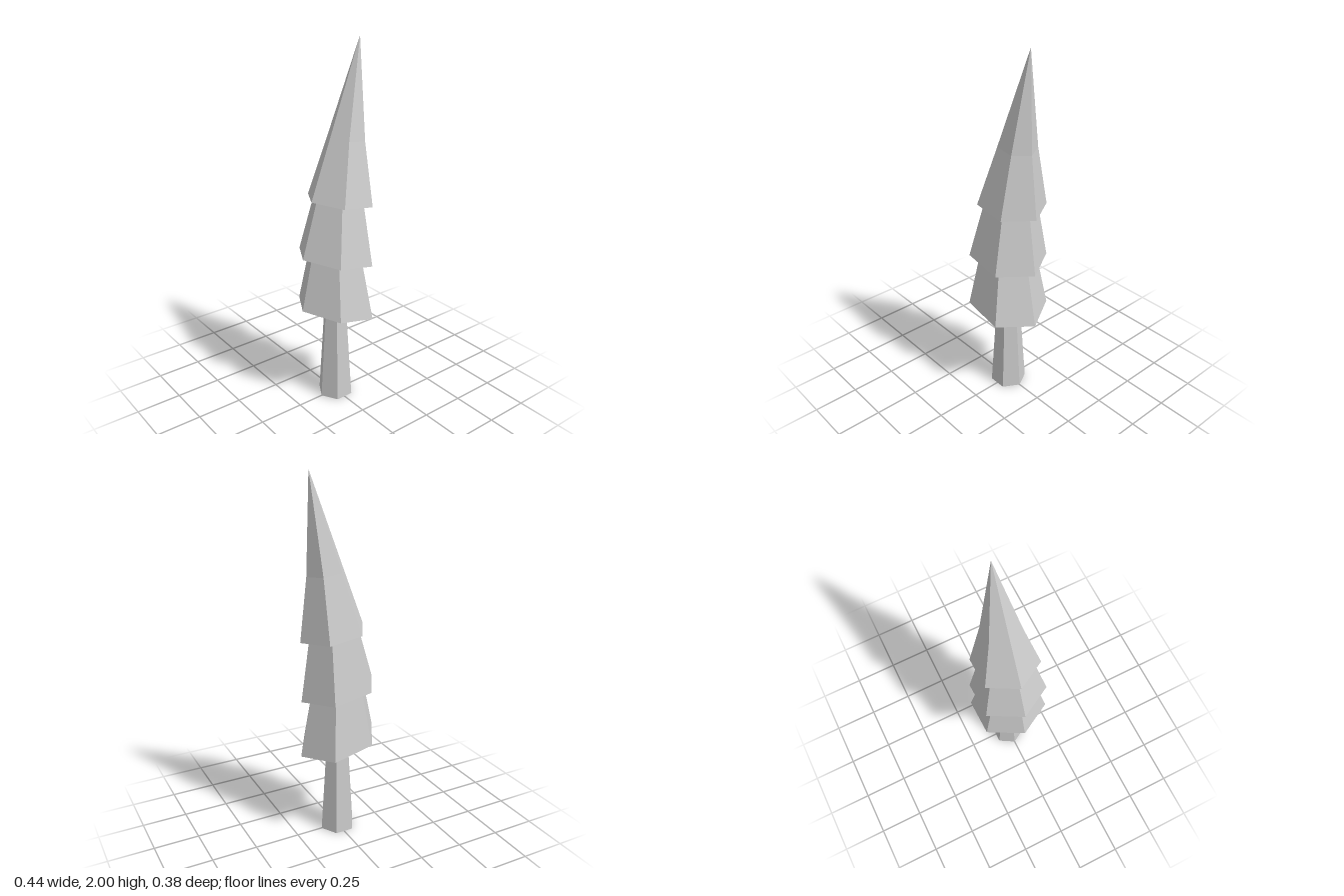
import * as THREE from 'three';

const SIDES = 6;
const material = new THREE.MeshStandardMaterial({ color: 0xcccccc, flatShading: true, side: THREE.DoubleSide });

// Skin between tilted hexagonal rings: cx = centre, r = radius, yl / yr = height at the -x / +x corner
function loft(name, rings, capBottom = false) {
  const corner = ({ cx, r, yl, yr }, i) => {
    const a = (i % SIDES) * Math.PI * 2 / SIDES;
    const c = Math.cos(a);
    return [cx + r * c, (yl + yr) / 2 + c * (yr - yl) / 2, r * Math.sin(a)];
  };
  const positions = [];
  const tri = (a, b, c) => positions.push(...a, ...b, ...c);
  for (let k = 0; k < rings.length - 1; k++) {
    for (let i = 0; i < SIDES; i++) {
      const a = corner(rings[k], i), b = corner(rings[k], i + 1);
      const c = corner(rings[k + 1], i + 1), d = corner(rings[k + 1], i);
      tri(a, d, b);
      if (rings[k + 1].r > 0) tri(b, d, c);
    }
  }
  if (capBottom) {
    for (let i = 1; i < SIDES - 1; i++) tri(corner(rings[0], 0), corner(rings[0], i), corner(rings[0], i + 1));
  }
  const geometry = new THREE.BufferGeometry();
  geometry.setAttribute('position', new THREE.Float32BufferAttribute(positions, 3));
  geometry.computeVertexNormals();
  const mesh = new THREE.Mesh(geometry, material);
  mesh.name = name;
  return mesh;
}

export function createModel() {
  const tree = new THREE.Group();
  tree.name = 'coniferTree';
  tree.add(
    // Tapered trunk, running up into the foliage
    loft('trunk', [
      { cx: 0, r: 0.1, yl: 0, yr: 0 },
      { cx: 0, r: 0.062, yl: 0.6, yr: 0.58 },
    ], true),
    // Open skirts of foliage, each tucked under the next
    loft('lowerFoliage', [
      { cx: 0, r: 0.22, yl: 0.59, yr: 0.49 },
      { cx: 0, r: 0.14, yl: 0.95, yr: 0.9 },
    ]),
    loft('middleFoliage', [
      { cx: 0, r: 0.212, yl: 0.89, yr: 0.81 },
      { cx: 0.026, r: 0.126, yl: 1.26, yr: 1.22 },
    ]),
    // Leaning tip
    loft('topFoliage', [
      { cx: 0.03, r: 0.183, yl: 1.195, yr: 1.14 },
      { cx: 0.07, r: 0.103, yl: 1.51, yr: 1.48 },
      { cx: 0.153, r: 0, yl: 2, yr: 2 },
    ]),
  );
  return tree;
}
